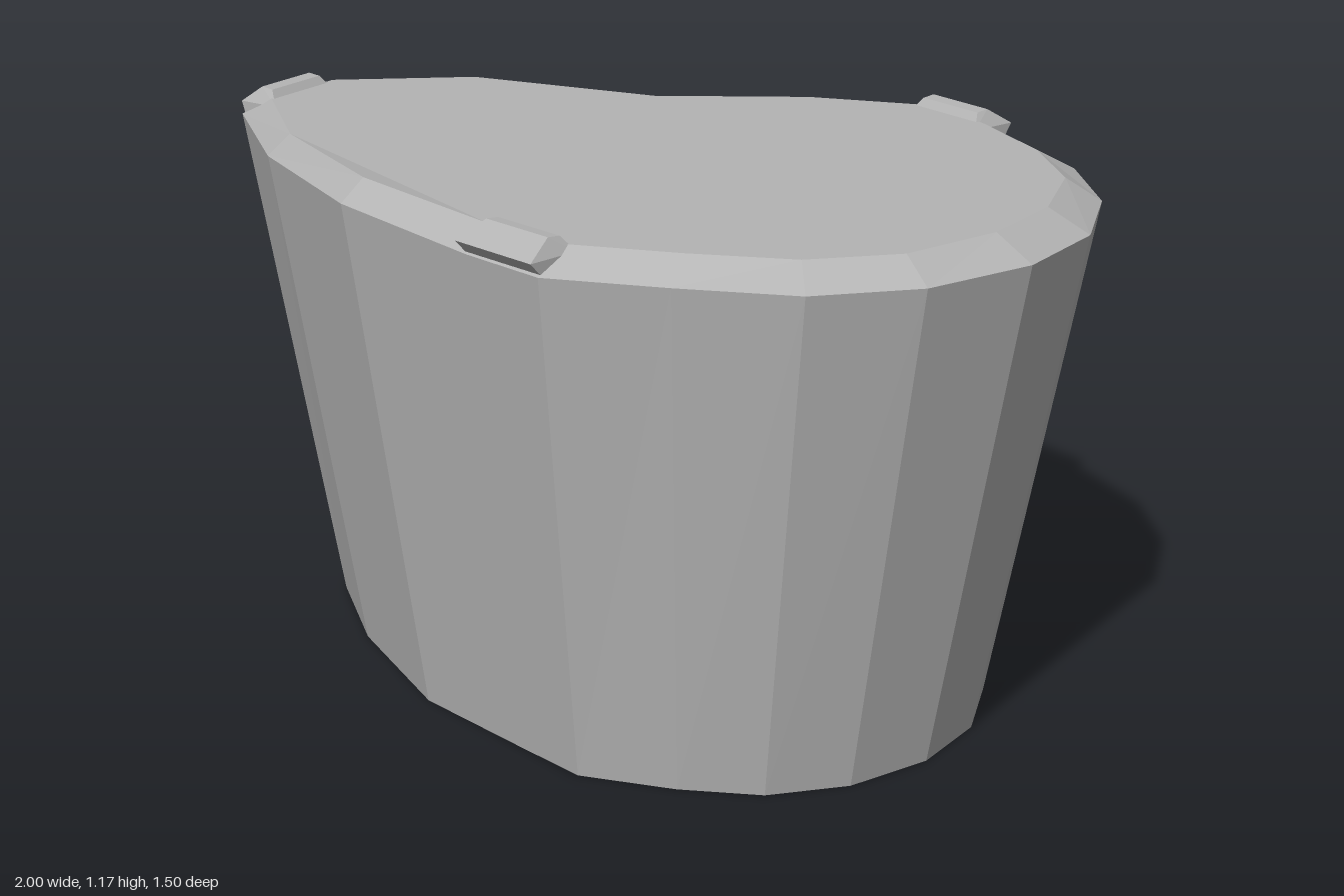
import * as THREE from 'three';
import { ConvexGeometry } from 'three/addons/geometries/ConvexGeometry.js';

// Outlines as [x, z, y], going round from the narrow end past the back
const foot = [
  [-0.76, -0.08], [-0.54, -0.26], [-0.18, -0.41], [0.05, -0.505], [0.235, -0.54], [0.42, -0.5],
  [0.61, -0.41], [0.73, -0.26], [0.8, -0.08], [0.8, 0.11], [0.73, 0.295], [0.61, 0.43],
  [0.45, 0.51], [0.25, 0.575], [0.08, 0.54], [-0.22, 0.475], [-0.54, 0.295], [-0.76, 0.11],
].map(([x, z]) => [x, z, 0]);

const shoulder = [
  [-1, -0.1], [-0.71, -0.34], [-0.25, -0.45], [0.05, -0.66], [0.31, -0.74, 1.12], [0.5, -0.68],
  [0.75, -0.53], [0.91, -0.34], [1, -0.11], [1, 0.13], [0.91, 0.37], [0.75, 0.54],
  [0.52, 0.64], [0.28, 0.73], [0.08, 0.69], [-0.31, 0.6, 1.125], [-0.71, 0.37], [-1, 0.13],
].map(([x, z, y = 1.11]) => [x, z, y]);

const lip = [
  [-0.92, -0.09], [-0.67, -0.3], [-0.23, -0.39], [0.06, -0.58], [0.29, -0.66], [0.49, -0.6],
  [0.69, -0.47], [0.84, -0.31], [0.91, -0.1], [0.91, 0.11], [0.84, 0.33], [0.7, 0.475],
  [0.5, 0.565], [0.27, 0.65], [0.08, 0.62], [-0.3, 0.54, 1.168], [-0.68, 0.33], [-0.92, 0.12],
].map(([x, z, y = 1.155]) => [x, z, y]);

function facets(corners) {
  const geometry = new THREE.BufferGeometry();
  const positions = corners.flatMap(([x, z, y]) => [x, y, z]);
  geometry.setAttribute('position', new THREE.Float32BufferAttribute(positions, 3));
  geometry.computeVertexNormals();
  return geometry;
}

// Band of quads between a lower and an upper outline
function band(lower, upper) {
  const corners = [];
  lower.forEach((a, i) => {
    const j = (i + 1) % lower.length;
    corners.push(lower[j], a, upper[i], lower[j], upper[i], upper[j]);
  });
  return facets(corners);
}

// Filled outline facing up (1) or down (-1)
function cap(outline, facing) {
  const flat = outline.map(([x, z]) => new THREE.Vector2(x, z));
  const corners = [];
  for (const face of THREE.ShapeUtils.triangulateShape(flat, [])) {
    const [a, b, c] = face.map((i) => outline[i]);
    const up = (b[1] - a[1]) * (c[0] - a[0]) - (b[0] - a[0]) * (c[1] - a[1]);
    corners.push(...(up * facing > 0 ? [a, b, c] : [a, c, b]));
  }
  return facets(corners);
}

// Small raised stone lying along the rim from p to q
function rimStone(p, q, overhang) {
  const dir = new THREE.Vector2(q[0] - p[0], q[1] - p[1]).normalize();
  const section = [[-0.01, 1.11, 0], [overhang, 1.14, 0], [-0.045, 1.175, 0.02], [-0.075, 1.172, 0.02], [-0.1, 1.14, 0]];
  const points = [];
  for (const [out, y, inset] of section) {
    for (const [end, sign] of [[p, 1], [q, -1]]) {
      points.push(new THREE.Vector3(
        end[0] + dir.y * out + dir.x * inset * sign, y,
        end[1] - dir.x * out + dir.y * inset * sign));
    }
  }
  return new ConvexGeometry(points);
}

export function createModel() {
  const model = new THREE.Group();
  model.name = 'rockPillar';
  const stone = new THREE.MeshStandardMaterial({ color: 0xb4b4b4, flatShading: true });
  stone.name = 'grey stone';

  const add = (name, geometry) => {
    const mesh = new THREE.Mesh(geometry, stone);
    mesh.name = name;
    model.add(mesh);
  };

  // Main body
  add('base', cap(foot, -1));
  add('walls', band(foot, shoulder));
  add('bevelledRim', band(shoulder, lip));
  add('topSurface', cap(lip, 1));

  // Chipped stones on the rim
  add('frontRimStone', rimStone([0.28, 0.73], [0.07, 0.69], 0.018));
  add('backRimStone', rimStone([0.31, -0.74], [0.51, -0.68], 0.01));
  add('endRimStone', rimStone([-1, 0.13], [-1, -0.07], 0));
  return model;
}
